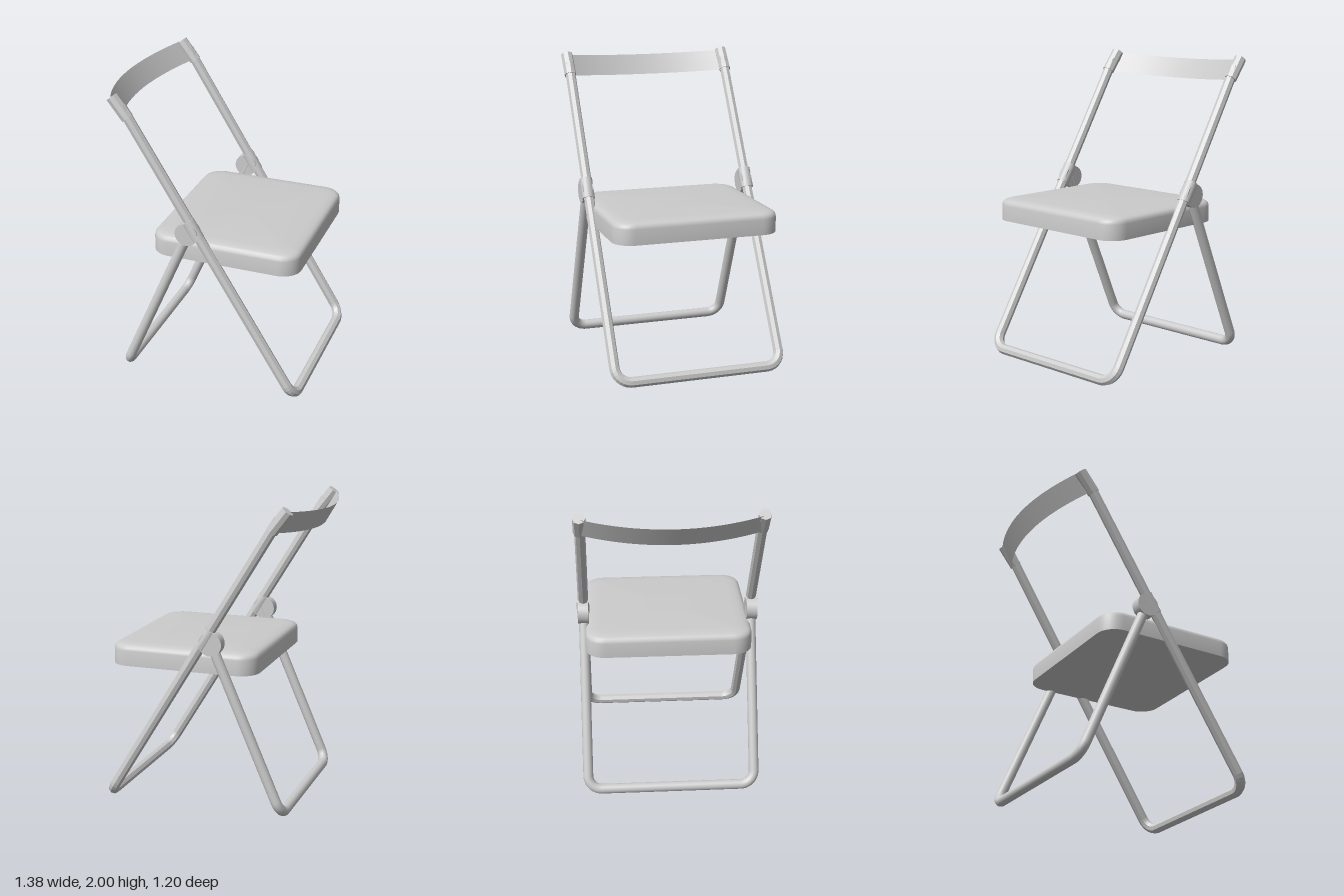
import * as THREE from 'three';
import { toCreasedNormals } from 'three/addons/utils/BufferGeometryUtils.js';

const V = (x, y, z) => new THREE.Vector3(x, y, z);
const smooth = new THREE.MeshStandardMaterial({ color: 0xcccccc });
const faceted = new THREE.MeshStandardMaterial({ color: 0xcccccc, flatShading: true });
const sheet = new THREE.MeshStandardMaterial({ color: 0xcccccc, side: THREE.DoubleSide });

function part(name, geometry, material) {
  const mesh = new THREE.Mesh(geometry, material);
  mesh.name = name;
  return mesh;
}

// U-shaped bent tube: down one side, across the floor, up the other
function uTube(top, bottom, z, radius, bend, sides) {
  const t = V(top[0], top[1], 0), b = V(bottom[0], bottom[1], 0);
  const up = t.clone().sub(b).normalize().multiplyScalar(bend);
  const path = new THREE.CurvePath();
  const at = (p, zz) => V(p.x, p.y, zz);
  const low = b.clone().add(up);
  const k = 0.45; // handle factor giving a nearly circular bend
  const handle = b.clone().addScaledVector(up, k);
  path.add(new THREE.LineCurve3(at(t, z), at(low, z)));
  path.add(new THREE.CubicBezierCurve3(at(low, z), at(handle, z), at(b, z - bend * k), at(b, z - bend)));
  path.add(new THREE.LineCurve3(at(b, z - bend), at(b, bend - z)));
  path.add(new THREE.CubicBezierCurve3(at(b, bend - z), at(b, bend * k - z), at(handle, -z), at(low, -z)));
  path.add(new THREE.LineCurve3(at(low, -z), at(t, -z)));
  return new THREE.TubeGeometry(path, 260, radius, sides, false);
}

// Cylinder running between two points
function rod(a, b, radius, sides) {
  const dir = b.clone().sub(a);
  const g = new THREE.CylinderGeometry(radius, radius, dir.length(), sides);
  g.applyQuaternion(new THREE.Quaternion().setFromUnitVectors(V(0, 1, 0), dir.normalize()));
  const mid = a.clone().add(b).multiplyScalar(0.5);
  return g.translate(mid.x, mid.y, mid.z);
}

// Padded seat: stacked rounded rectangles, flat below and softened above
function seatGeometry() {
  const rings = [[0, 0.92], [0, 1.02], [0.004, 1.037], [0.014, 1.049], [0.03, 1.056], [0.06, 1.062], [0.1, 1.065]];
  const cx = 0.15, hx = 0.495, hz = 0.545, steps = 8;
  const n = 4 * (steps + 1);
  const pos = [], index = [];
  for (const [inset, y] of rings) {
    const r = 0.125 - inset * 0.6;
    for (let c = 0; c < 4; c++) {
      const sx = c === 0 || c === 3 ? 1 : -1, sz = c < 2 ? 1 : -1;
      for (let s = 0; s <= steps; s++) {
        const a = (c + s / steps) * Math.PI / 2;
        pos.push(cx + sx * (hx - inset - r) + r * Math.cos(a), y, sz * (hz - inset - r) + r * Math.sin(a));
      }
    }
  }
  for (let j = 0; j < rings.length - 1; j++) {
    for (let i = 0; i < n; i++) {
      const a = j * n + i, b = j * n + (i + 1) % n;
      index.push(a, a + n, b, b, a + n, b + n);
    }
  }
  const last = (rings.length - 1) * n, mid = pos.length / 3;
  pos.push(cx, 0.92, 0, cx, 1.066, 0);
  for (let i = 0; i < n; i++) {
    const k = (i + 1) % n;
    index.push(mid, i, k, mid + 1, last + k, last + i);
  }
  const g = new THREE.BufferGeometry();
  g.setAttribute('position', new THREE.Float32BufferAttribute(pos, 3));
  g.setIndex(index);
  return toCreasedNormals(g, 0.7);
}

// Back band: a thin strip bowed rearwards between the uprights
function backGeometry() {
  const g = new THREE.PlaneGeometry(1.09, 1, 32, 1);
  const p = g.attributes.position;
  for (let i = 0; i < p.count; i++) {
    const z = p.getX(i), top = p.getY(i) > 0;
    const bow = 1 - (z / 0.545) ** 2;
    p.setXYZ(i, (top ? -0.572 : -0.495) - 0.118 * bow, (top ? 1.968 : 1.837) - 0.024 * bow, z);
  }
  g.computeVertexNormals();
  return g;
}

export function createModel() {
  const chair = new THREE.Group();
  chair.name = 'foldingChair';

  chair.add(part('mainFrame', uTube([-0.50, 1.92], [0.655, 0.037], 0.555, 0.034, 0.1, 8), faceted));
  chair.add(part('rearLegs', uTube([-0.06, 1.13], [-0.533, 0.035], 0.553, 0.033, 0.09, 16), smooth));
  chair.add(part('seat', seatGeometry(), smooth));
  chair.add(part('backrest', backGeometry(), sheet));

  // Caps and pivots, mirrored on both sides
  for (const side of [1, -1]) {
    const z = 0.557 * side;
    chair.add(part('topCap', rod(V(-0.456, 1.845, z), V(-0.556, 1.974, z), 0.04, 8), faceted));

    const pivot = new THREE.Group();
    pivot.name = 'pivot';
    const disc = new THREE.CylinderGeometry(0.076, 0.076, 0.07, 28).rotateX(Math.PI / 2);
    disc.translate(-0.069, 1.121, z);
    pivot.add(part('pivotDisc', toCreasedNormals(disc, 0.7), smooth));
    const sleeve = rod(V(-0.069, 1.206, z), V(0.003, 1.088, z), 0.042, 20);
    pivot.add(part('pivotSleeve', toCreasedNormals(sleeve, 0.7), smooth));
    chair.add(pivot);
  }
  return chair;
}
